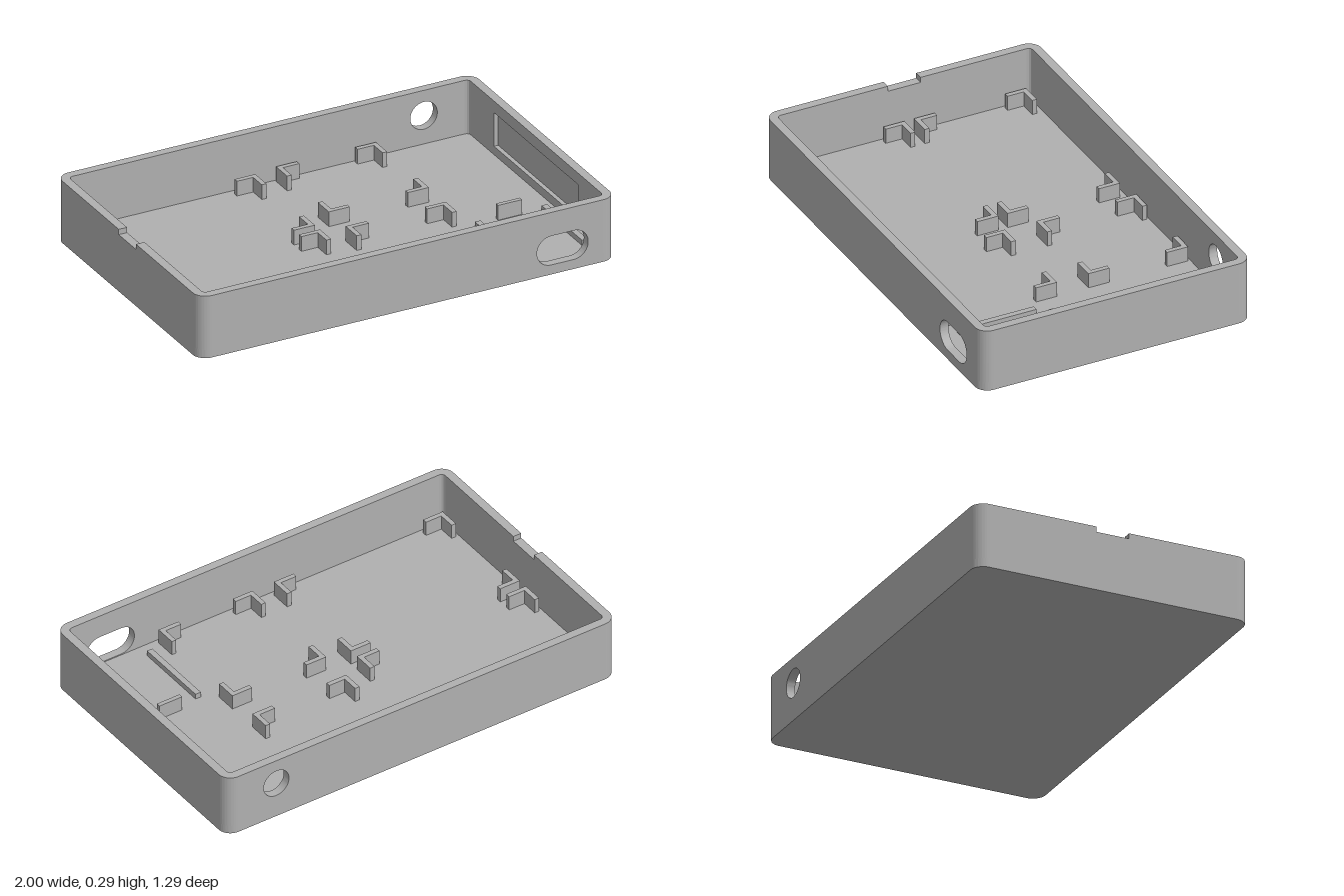
import * as THREE from 'three';
import { toCreasedNormals } from 'three/addons/utils/BufferGeometryUtils.js';

const W = 1, D = 0.645, H = 0.295; // half width, half depth, height
const T = 0.04, R = 0.06;          // wall and floor thickness, corner radius
const CX = W - R, CZ = D - R;      // corner arc centres

export function createModel() {
  const model = new THREE.Group();
  model.name = 'enclosureTray';
  const grey = new THREE.MeshStandardMaterial({ color: 0xb0b0b0 });
  grey.name = 'grey plastic';

  const add = (name, geometry, parent = model) => {
    const mesh = new THREE.Mesh(geometry, grey);
    mesh.name = name;
    parent.add(mesh);
    return mesh;
  };
  const extrude = (shape, depth) => toCreasedNormals(
    new THREE.ExtrudeGeometry(shape, { depth, bevelEnabled: false, curveSegments: 24 }), 0.6);
  const polygon = (pts) => new THREE.Shape(pts.map(([x, y]) => new THREE.Vector2(x, y)));
  const rect = (x0, y0, x1, y1) => polygon([[x0, y0], [x1, y0], [x1, y1], [x0, y1]]);
  // Block given by its x, y and z ranges
  const block = (name, x0, x1, y0, y1, z0, z1, parent) => add(name,
    new THREE.BoxGeometry(x1 - x0, y1 - y0, z1 - z0)
      .translate((x0 + x1) / 2, (y0 + y1) / 2, (z0 + z1) / 2), parent);

  // Floor with rounded corners
  const outline = new THREE.Shape();
  outline.absarc(CX, CZ, R, 0, Math.PI / 2);
  outline.absarc(-CX, CZ, R, Math.PI / 2, Math.PI);
  outline.absarc(-CX, -CZ, R, Math.PI, Math.PI * 1.5);
  outline.absarc(CX, -CZ, R, Math.PI * 1.5, Math.PI * 2);
  add('floor', extrude(outline, T).rotateX(-Math.PI / 2));

  // Rounded wall corners
  for (let i = 0; i < 4; i++) {
    const a = i * Math.PI / 2;
    const arc = new THREE.Shape();
    arc.absarc(0, 0, R, a, a + Math.PI / 2, false);
    arc.absarc(0, 0, R - T, a + Math.PI / 2, a, true);
    const sx = i === 0 || i === 3 ? 1 : -1, sz = i < 2 ? -1 : 1;
    add('cornerWall', extrude(arc, H - T).rotateX(-Math.PI / 2).translate(sx * CX, T, sz * CZ));
  }

  // Front wall with an oblong port
  const front = rect(-CX, T, CX, H);
  const slot = new THREE.Path();
  slot.absarc(0.797, 0.114, 0.069, -Math.PI / 2, Math.PI / 2);
  slot.absarc(0.689, 0.114, 0.069, Math.PI / 2, Math.PI * 1.5);
  slot.closePath();
  front.holes.push(slot);
  add('frontWall', extrude(front, T).translate(0, 0, D - T));

  // Back wall with a round port
  const back = rect(-CX, T, CX, H);
  const port = new THREE.Path();
  port.absarc(0.745, 0.175, 0.065, 0, Math.PI * 2);
  back.holes.push(port);
  add('backWall', extrude(back, T).translate(0, 0, -D));

  // Left wall: solid outer skin, inner skin with a rectangular recess
  block('leftWallOuter', W - T / 2, W, T, H, -CZ, CZ);
  const inner = rect(-CZ, T, CZ, H);
  inner.holes.push(rect(-0.378, 0.08, 0.378, 0.24));
  add('leftWallInner', extrude(inner, T / 2).rotateY(Math.PI / 2).translate(W - T, 0, 0));

  // Right wall with a shallow notch in its rim
  const n = H - 0.025;
  const notched = polygon([[-CZ, T], [CZ, T], [CZ, H], [0.08, H], [0.08, n],
    [-0.075, n], [-0.075, H], [-CZ, H]]);
  add('rightWall', extrude(notched, T).rotateY(Math.PI / 2).translate(-W, 0, 0));

  // L-shaped corner brackets holding four boards
  const arm = 0.1, t = 0.022, top = 0.11;
  const ell = polygon([[0, 0], [arm, 0], [arm, t], [t, t], [t, arm], [0, arm]]);
  const bracketGeometry = extrude(ell, top - T).rotateX(-Math.PI / 2); // opens to +x, -z
  const boards = [ // x0, x1, z0, z1
    [-0.945, -0.08, -0.575, -0.04],
    [-0.945, -0.08, 0.005, 0.585],
    [0.03, 0.51, -0.595, -0.12],
    [0.03, 0.51, 0.03, 0.585],
  ];
  boards.forEach(([x0, x1, z0, z1]) => {
    const holder = new THREE.Group();
    holder.name = 'boardHolder';
    model.add(holder);
    [[x0, z1], [x1, z1], [x1, z0], [x0, z0]].forEach(([x, z], i) => {
      const bracket = add('cornerBracket', bracketGeometry, holder);
      bracket.position.set(x, T, z);
      bracket.rotation.y = i * Math.PI / 2;
    });
  });

  // Rails and stop block behind the front port
  block('portRail', 0.573, 0.6, T, 0.065, 0.175, 0.54);
  block('portRail', 0.893, 0.92, T, 0.065, 0.175, 0.54);
  block('portStop', 0.69, 0.805, T, top, 0.145, 0.165);

  return model;
}
